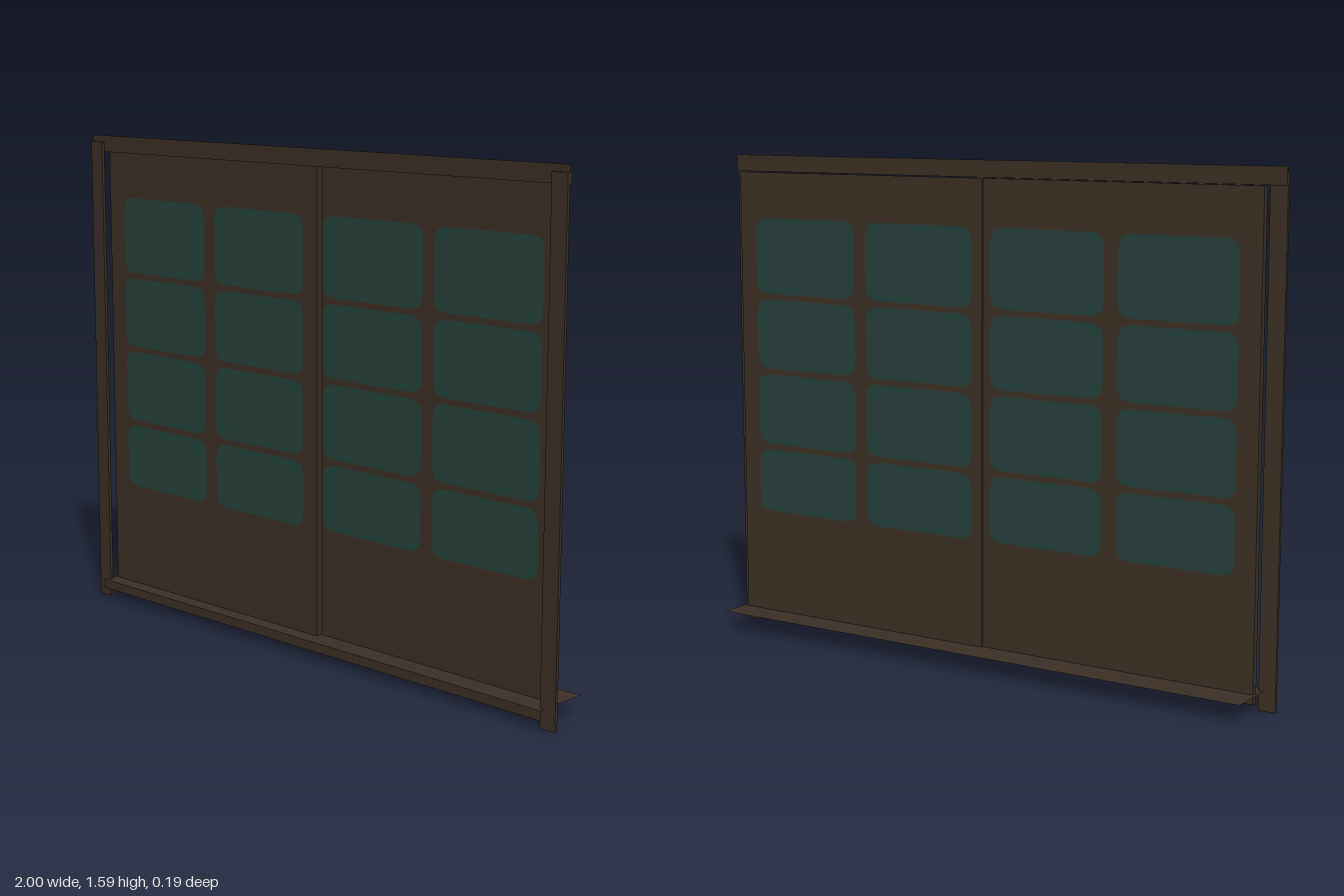
import * as THREE from 'three';

const wood = new THREE.MeshStandardMaterial({ color: 0x3b3026 });
wood.name = 'dark brown wood';
const sheetWood = wood.clone();
sheetWood.name = 'dark brown wood sheet';
sheetWood.side = THREE.DoubleSide;
const glass = new THREE.MeshStandardMaterial({ color: 0x26413b });
glass.name = 'dark teal glass';

// Window pane rows as [bottom, top]
const rows = [[0.405, 0.615], [0.635, 0.87], [0.89, 1.12], [1.14, 1.39]];

function box(name, x0, x1, y0, y1, z0, z1) {
  const mesh = new THREE.Mesh(new THREE.BoxGeometry(x1 - x0, y1 - y0, z1 - z0), wood);
  mesh.position.set((x0 + x1) / 2, (y0 + y1) / 2, (z0 + z1) / 2);
  mesh.name = name;
  return mesh;
}

function roundedRect(Type, x0, x1, y0, y1, r) {
  const s = new Type();
  s.moveTo(x0 + r, y0);
  s.lineTo(x1 - r, y0);
  s.quadraticCurveTo(x1, y0, x1, y0 + r);
  s.lineTo(x1, y1 - r);
  s.quadraticCurveTo(x1, y1, x1 - r, y1);
  s.lineTo(x0 + r, y1);
  s.quadraticCurveTo(x0, y1, x0, y1 - r);
  s.lineTo(x0, y0 + r);
  s.quadraticCurveTo(x0, y0, x0 + r, y0);
  return s;
}

// Sliding door leaf with rounded openings filled flush by glass panes
function doorPanel(name, x0, x1, z0, z1, columns) {
  const group = new THREE.Group();
  group.name = name;
  const y0 = 0.03, y1 = 1.54, r = 0.045;
  const options = { depth: z1 - z0, bevelEnabled: false, curveSegments: 5 };
  const leaf = new THREE.Shape([
    new THREE.Vector2(x0, y0), new THREE.Vector2(x1, y0),
    new THREE.Vector2(x1, y1), new THREE.Vector2(x0, y1),
  ]);
  for (const [cx0, cx1] of columns) {
    for (const [ry0, ry1] of rows) {
      leaf.holes.push(roundedRect(THREE.Path, cx0, cx1, ry0, ry1, r));
      const shape = roundedRect(THREE.Shape, cx0, cx1, ry0, ry1, r);
      const pane = new THREE.Mesh(new THREE.ExtrudeGeometry(shape, options), glass);
      pane.position.z = z0;
      pane.name = 'windowPane';
      group.add(pane);
    }
  }
  const body = new THREE.Mesh(new THREE.ExtrudeGeometry(leaf, options), wood);
  body.position.z = z0;
  body.name = 'doorLeaf';
  group.add(body);
  return group;
}

export function createModel() {
  const model = new THREE.Group();
  model.name = 'slidingDoor';

  // Overlapping door leaves, the right one in front
  model.add(doorPanel('rightDoor', -0.95, 0.025, 0.018, 0.04, [[-0.88, -0.485], [-0.435, -0.035]]));
  model.add(doorPanel('leftDoor', -0.01, 0.945, 0.01, 0.018, [[0.03, 0.435], [0.48, 0.88]]));

  // Thin frame in front of the doors
  model.add(box('rightPost', -1, -0.945, 0, 1.573, 0.067, 0.077));
  model.add(box('leftPost', 0.945, 1, 0, 1.573, 0.067, 0.077));
  model.add(box('topBar', -1, 1, 1.54, 1.594, 0.06, 0.067));

  // Threshold sheet with a lip folded down at the front
  const sill = new THREE.Mesh(new THREE.PlaneGeometry(1.92, 0.186), sheetWood);
  sill.rotation.x = -Math.PI / 2;
  sill.position.y = 0.06;
  sill.name = 'threshold';
  const lip = new THREE.Mesh(new THREE.PlaneGeometry(1.92, 0.03), sheetWood);
  lip.position.set(0, 0.045, 0.093);
  lip.name = 'thresholdLip';
  model.add(sill, lip);

  return model;
}
